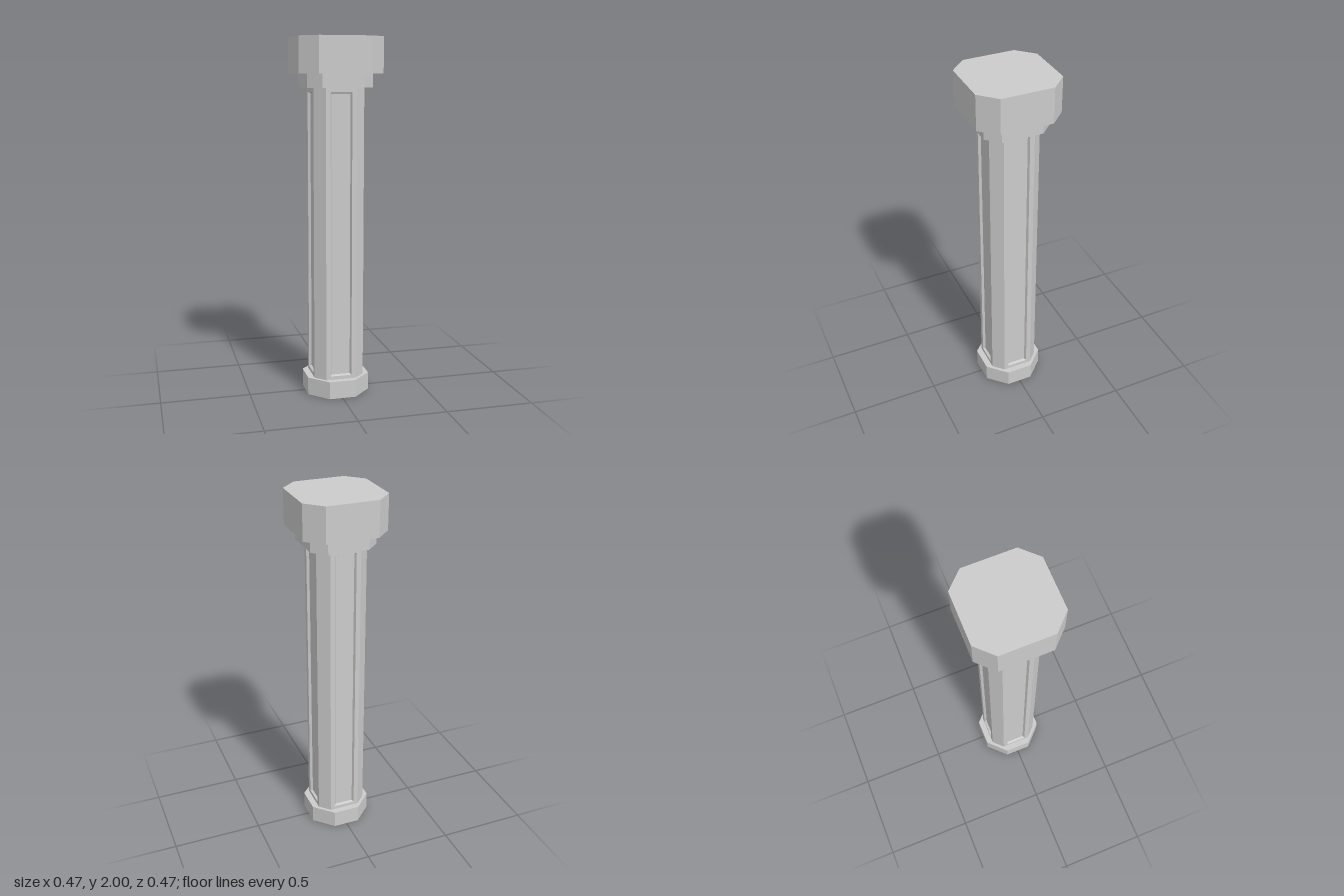
import * as THREE from 'three';

const material = new THREE.MeshStandardMaterial({ color: 0xcccccc, flatShading: true, side: THREE.DoubleSide });

// Skin a row of closed loops with flat quads, optionally closing the last loop
function loft(name, loops, cap = false) {
  const pos = [];
  const tri = (a, b, c) => pos.push(...a, ...b, ...c);
  for (let k = 0; k < loops.length - 1; k++) {
    const p = loops[k], q = loops[k + 1], n = p.length;
    for (let i = 0; i < n; i++) {
      const j = (i + 1) % n;
      tri(p[i], p[j], q[j]);
      tri(p[i], q[j], q[i]);
    }
  }
  if (cap) {
    const p = loops[loops.length - 1];
    for (let i = 1; i < p.length - 1; i++) tri(p[0], p[i], p[i + 1]);
  }
  const geometry = new THREE.BufferGeometry();
  geometry.setAttribute('position', new THREE.Float32BufferAttribute(pos, 3));
  geometry.computeVertexNormals();
  const mesh = new THREE.Mesh(geometry, material);
  mesh.name = name;
  return mesh;
}

// Square with cut corners: h = half width, f = half length of each flat side
const octagon = (h, f, y) => [
  [-f, y, h], [f, y, h], [h, y, f], [h, y, -f],
  [f, y, -h], [-f, y, -h], [-h, y, -f], [-h, y, f],
];

// Upright rectangle facing +z
const rectangle = (w, y0, y1, z) => [[-w, y0, z], [w, y0, z], [w, y1, z], [-w, y1, z]];

export function createModel() {
  const column = new THREE.Group();
  column.name = 'column';
  const H = 0.142, F = 0.086, BOTTOM = 0.1, TOP = 1.73;

  // Hollow base with a ledge running in to the shaft
  column.add(loft('base', [octagon(0.177, 0.075, 0), octagon(0.177, 0.075, BOTTOM), octagon(H, F, BOTTOM)]));

  // Shaft: four sides with a sunken panel, joined by plain corner faces
  for (let i = 0; i < 4; i++) {
    const side = new THREE.Group();
    side.name = 'shaftSide';
    side.rotation.y = i * Math.PI / 2;
    side.add(loft('sunkenPanel', [
      rectangle(F, BOTTOM, TOP, H),
      rectangle(0.06, 0.12, 1.705, H),
      rectangle(0.053, 0.126, 1.699, H - 0.014),
    ], true));
    side.add(loft('cornerFace', [[[F, BOTTOM, H], [H, BOTTOM, F], [H, TOP, F], [F, TOP, H]]], true));
    column.add(side);
  }

  // Neck and capital, each with an underside ledge
  column.add(loft('neck', [octagon(H, F, TOP), octagon(0.183, 0.113, TOP), octagon(0.183, 0.113, 1.805)]));
  column.add(loft('capital', [
    octagon(0.183, 0.113, 1.805), octagon(0.233, 0.143, 1.805), octagon(0.233, 0.143, 2),
  ], true));

  return column;
}
